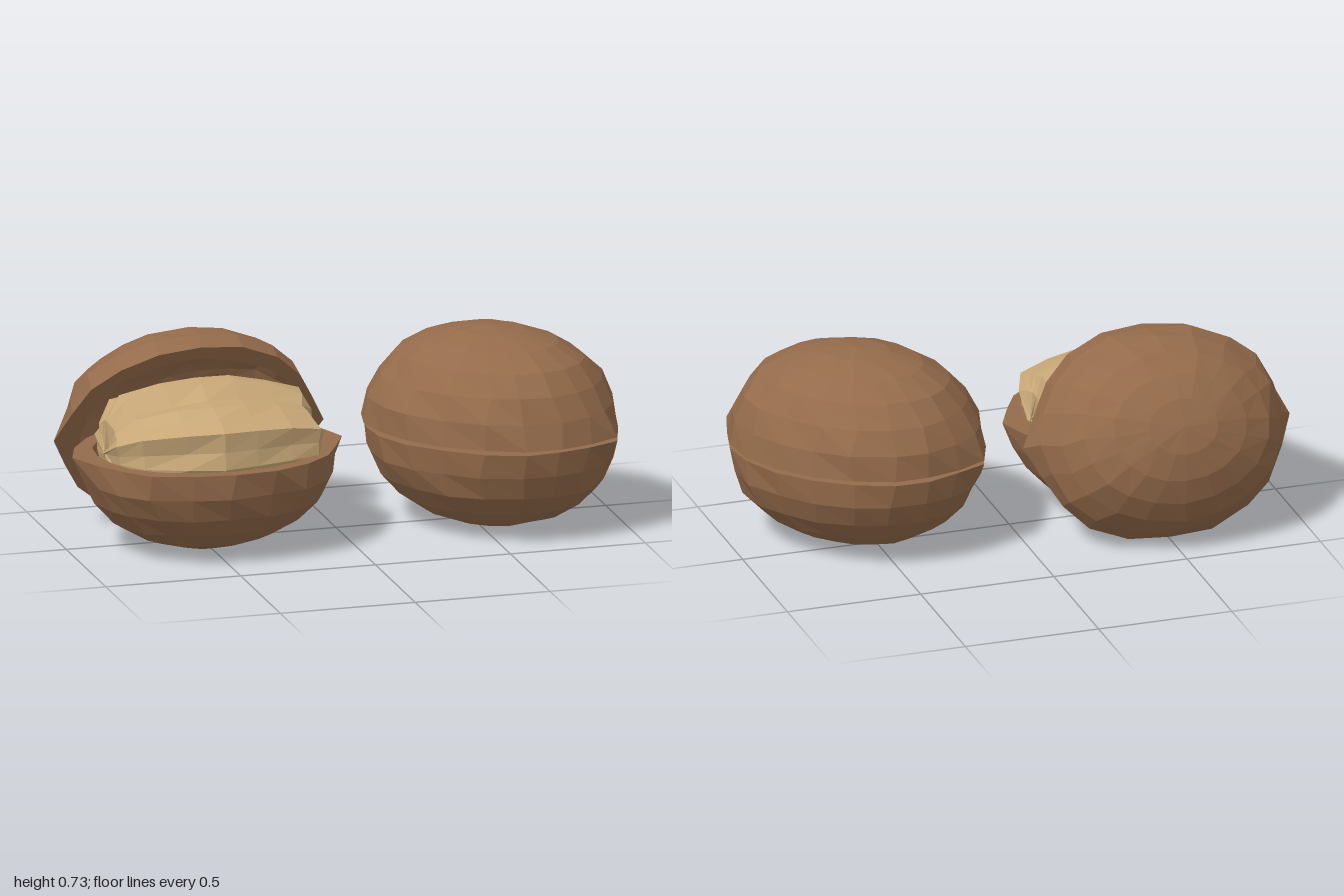
import * as THREE from 'three';

const shellBrown = new THREE.MeshStandardMaterial({ color: 0x946b4b, flatShading: true });
shellBrown.name = 'shellBrown';
const kernelTan = new THREE.MeshStandardMaterial({ color: 0xc8a878, flatShading: true });
kernelTan.name = 'kernelTan';

// Repeatable noise from a position, so that seam vertices stay together
function noise(x, y, z, seed) {
  const r = (v) => Math.round(v * 1000) / 1000;
  const s = Math.sin(r(x) * 127.1 + r(y) * 311.7 + r(z) * 74.7 + seed * 19.3) * 43758.5453;
  return s - Math.floor(s);
}

// Hollow half shell: a bowl with its rim at y = 0 and pointed tips on x
function makeShell(name, seed, depth) {
  const pts = [];
  const rings = 6;
  const wall = 0.86;
  for (let i = 0; i <= rings; i++) {
    const a = (i / rings) * Math.PI / 2;
    pts.push(new THREE.Vector2(Math.sin(a), -Math.cos(a)));
  }
  for (let i = rings; i >= 0; i--) {
    const a = (i / rings) * Math.PI / 2;
    pts.push(new THREE.Vector2(Math.sin(a) * wall, -Math.cos(a) * wall));
  }
  const geo = new THREE.LatheGeometry(pts, 20);
  const p = geo.attributes.position;
  for (let i = 0; i < p.count; i++) {
    const x = p.getX(i), y = p.getY(i), z = p.getZ(i);
    const round = Math.hypot(x, z);
    const tip = Math.abs(x) > 0.99;
    const k = tip ? 1 : 1 + (noise(x, y, z, seed) - 0.6) * 0.035 * round;
    const slide = Math.abs(y) < 0.01 ? 0 : (noise(z, x, y, seed) - 0.5) * 0.1 * round;
    // draw the sides in around the tips so that these stand out
    const squeeze = tip ? 1 : 1 - 0.05 * THREE.MathUtils.smoothstep(Math.abs(x), 0.55, 0.9);
    p.setXYZ(i, (x * k - z * slide) * 0.5 * squeeze, y * depth * k, (z * k + x * slide) * 0.385);
  }
  geo.computeVertexNormals();
  const mesh = new THREE.Mesh(geo, shellBrown);
  mesh.name = name;
  return mesh;
}

// Kernel: blunt barrel along x with ridges and furrows running lengthwise
function makeKernel(name, seed) {
  const profile = [[0, -1], [0.45, -0.98], [0.72, -0.9], [0.87, -0.6], [0.97, -0.25],
    [1, 0.08], [0.94, 0.42], [0.8, 0.8], [0.5, 0.98], [0, 1]];
  // radius of each ridge, from the front over the top to the back and under
  const ridges = [0.97, 0.96, 1.1, 0.95, 0.9, 0.8, 1, 1.01, 0.93, 1.02, 0.92, 1,
    0.97, 0.95, 0.88, 0.98, 0.9, 0.97, 0.88, 0.97, 0.9, 0.98, 0.9, 0.95];
  const geo = new THREE.LatheGeometry(profile.map(([r, y]) => new THREE.Vector2(r, y)), ridges.length);
  geo.rotateZ(Math.PI / 2);
  const p = geo.attributes.position;
  for (let i = 0; i < p.count; i++) {
    const x = p.getX(i), y = p.getY(i), z = p.getZ(i);
    const k = ridges[Math.floor(i / profile.length) % ridges.length]
      * (1 + (noise(x, y, z, seed) - 0.5) * 0.07);
    const bend = 0.012 * Math.sin(x * 5 + seed);
    p.setXYZ(i, x * 0.38 * (1 + (k - 0.95) * 0.25), y * 0.24 * k, z * 0.315 * k + bend);
  }
  geo.computeVertexNormals();
  const mesh = new THREE.Mesh(geo, kernelTan);
  mesh.name = name;
  return mesh;
}

export function createModel() {
  const model = new THREE.Group();
  model.name = 'walnuts';

  // Opened nut: bowl, kernel and the lid leaning back behind it
  const open = new THREE.Group();
  open.name = 'openNut';
  open.position.set(-0.5, 0.36, 0);
  const bowl = makeShell('openLowerShell', 1, 0.36);
  bowl.position.z = 0.075;
  const kernel = makeKernel('openKernel', 2);
  kernel.position.set(0.01, 0, 0.065);
  const lid = makeShell('openUpperShell', 3, 0.345);
  lid.position.set(0, -0.003, -0.158);
  lid.rotation.x = Math.PI - THREE.MathUtils.degToRad(65.5);
  open.add(bowl, kernel, lid);

  // Whole nut: two shells with a narrow gap that shows the kernel
  const whole = new THREE.Group();
  whole.name = 'wholeNut';
  whole.position.set(0.55, 0.36, 0.08);
  whole.rotation.y = THREE.MathUtils.degToRad(-42);
  const lower = makeShell('wholeLowerShell', 4, 0.36);
  const upper = makeShell('wholeUpperShell', 5, 0.357);
  upper.position.y = 0.014;
  upper.rotation.x = Math.PI;
  whole.add(lower, makeKernel('wholeKernel', 6), upper);

  model.add(open, whole);
  return model;
}
